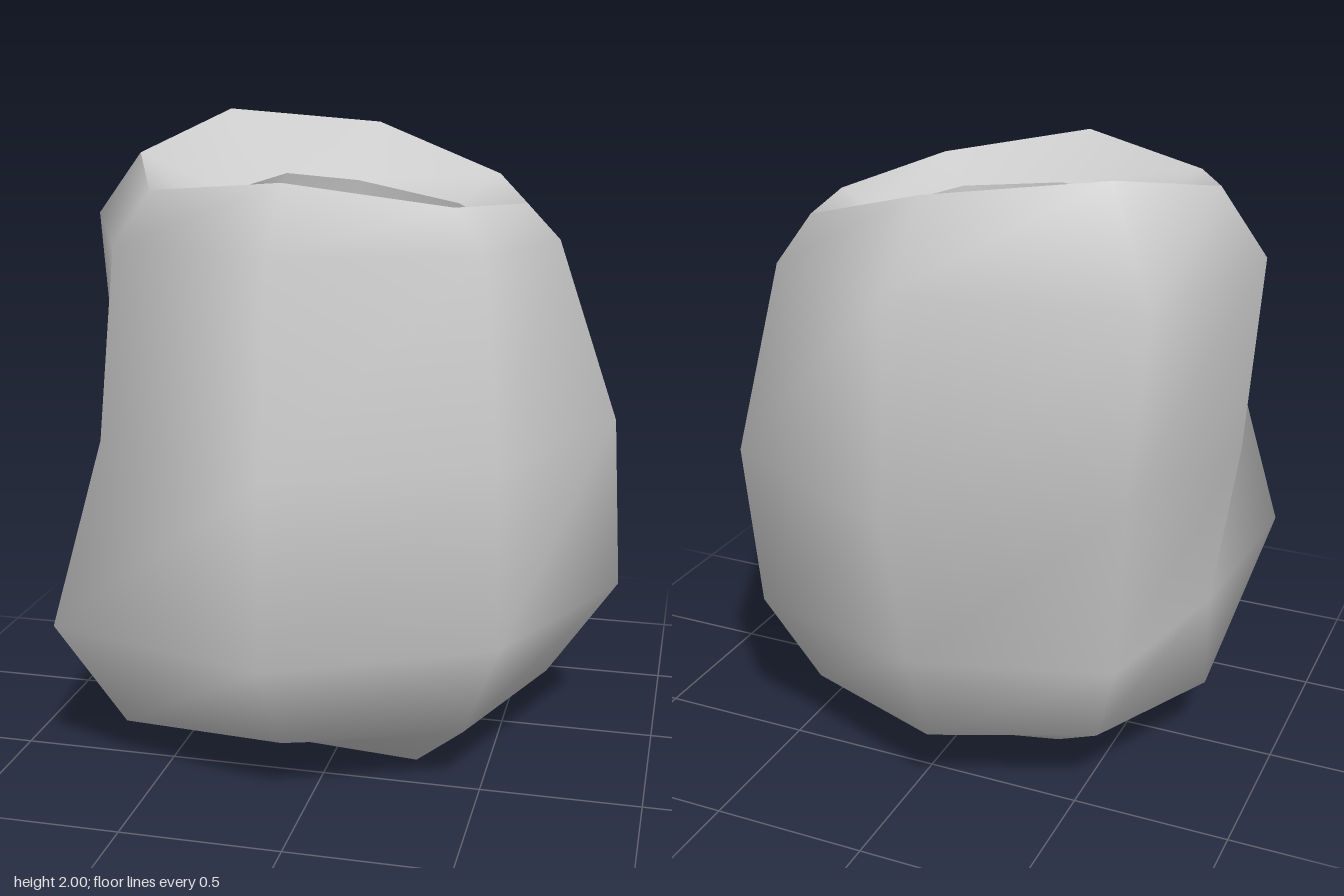
import * as THREE from 'three';

const SIDES = 8;
const AXIS_X = -0.075;

// A ring: eight radii around the axis, starting at the front and turning
// towards +x, with one height or a height per corner.
function ring(radii, heights) {
  return radii.map((r, j) => {
    const a = (j / SIDES) * Math.PI * 2;
    const y = Array.isArray(heights) ? heights[j] : heights;
    return [AXIS_X + r * Math.sin(a), y, r * Math.cos(a)];
  });
}
const pole = (y) => ring(new Array(SIDES).fill(0), y);

// Joins successive rings into one smooth surface.
function loft(name, rings, material) {
  const index = [];
  for (let i = 0; i < rings.length - 1; i++) {
    for (let j = 0; j < SIDES; j++) {
      const k = (j + 1) % SIDES;
      const a = i * SIDES + j, b = i * SIDES + k;
      const c = a + SIDES, d = b + SIDES;
      index.push(a, c, b, b, c, d);
    }
  }
  const geometry = new THREE.BufferGeometry();
  geometry.setAttribute('position', new THREE.Float32BufferAttribute(rings.flat(2), 3));
  geometry.setIndex(index);
  geometry.computeVertexNormals();
  const mesh = new THREE.Mesh(geometry, material);
  mesh.name = name;
  return mesh;
}

export function createModel() {
  const group = new THREE.Group();
  group.name = 'roughVessel';
  const material = new THREE.MeshStandardMaterial({ color: 0xcccccc, side: THREE.DoubleSide });

  // Mouth: uneven outer rim and the inner edge of its sloping lip
  const rim = ring([0.65, 0.65, 0.615, 0.655, 0.67, 0.705, 0.655, 0.65],
    [1.88, 1.8, 1.76, 1.8, 1.95, 2.0, 1.89, 1.825]);
  const mouth = ring([0.395, 0.47, 0.495, 0.485, 0.33, 0.315, 0.365, 0.455],
    [1.75, 1.72, 1.7, 1.71, 1.78, 1.81, 1.77, 1.73]);

  // Outer body, from the rim down to the underside
  const shoulder = ring([0.84, 0.81, 0.72, 0.765, 0.915, 0.955, 0.805, 0.775],
    [1.7, 1.68, 1.65, 1.66, 1.735, 1.7, 1.69, 1.67]);
  const waist = ring([0.935, 0.885, 0.915, 0.91, 0.95, 0.84, 0.765, 0.84], 1.08);
  const belly = ring([0.955, 0.91, 0.945, 0.865, 0.81, 0.8, 0.69, 1.02],
    [0.53, 0.53, 0.53, 0.55, 0.57, 0.53, 0.53, 0.515]);
  const lower = ring([0.72, 0.74, 0.72, 0.69, 0.68, 0.69, 0.69, 0.79],
    [0.2, 0.2, 0.2, 0.23, 0.24, 0.25, 0.22, 0.14]);
  const foot = ring([0.38, 0.49, 0.38, 0.42, 0.34, 0.4, 0.345, 0.47],
    [0.04, 0, 0.04, 0.07, 0.05, 0.06, 0.035, 0.035]);
  group.add(loft('outerBody', [rim, shoulder, waist, belly, lower, foot, pole(0)], material));

  // Sloping lip between mouth and rim
  group.add(loft('lip', [mouth, rim], material));

  // Hollow inside: wall and floor
  const wall = ring([0.4, 0.46, 0.45, 0.485, 0.5, 0.5, 0.5, 0.46], 1.0);
  const floor = ring([0.35, 0.415, 0.365, 0.47, 0.45, 0.45, 0.45, 0.39], 0.3);
  group.add(loft('innerWall', [floor, wall, mouth], material));
  group.add(loft('innerFloor', [pole(0.3), floor], material));

  return group;
}
